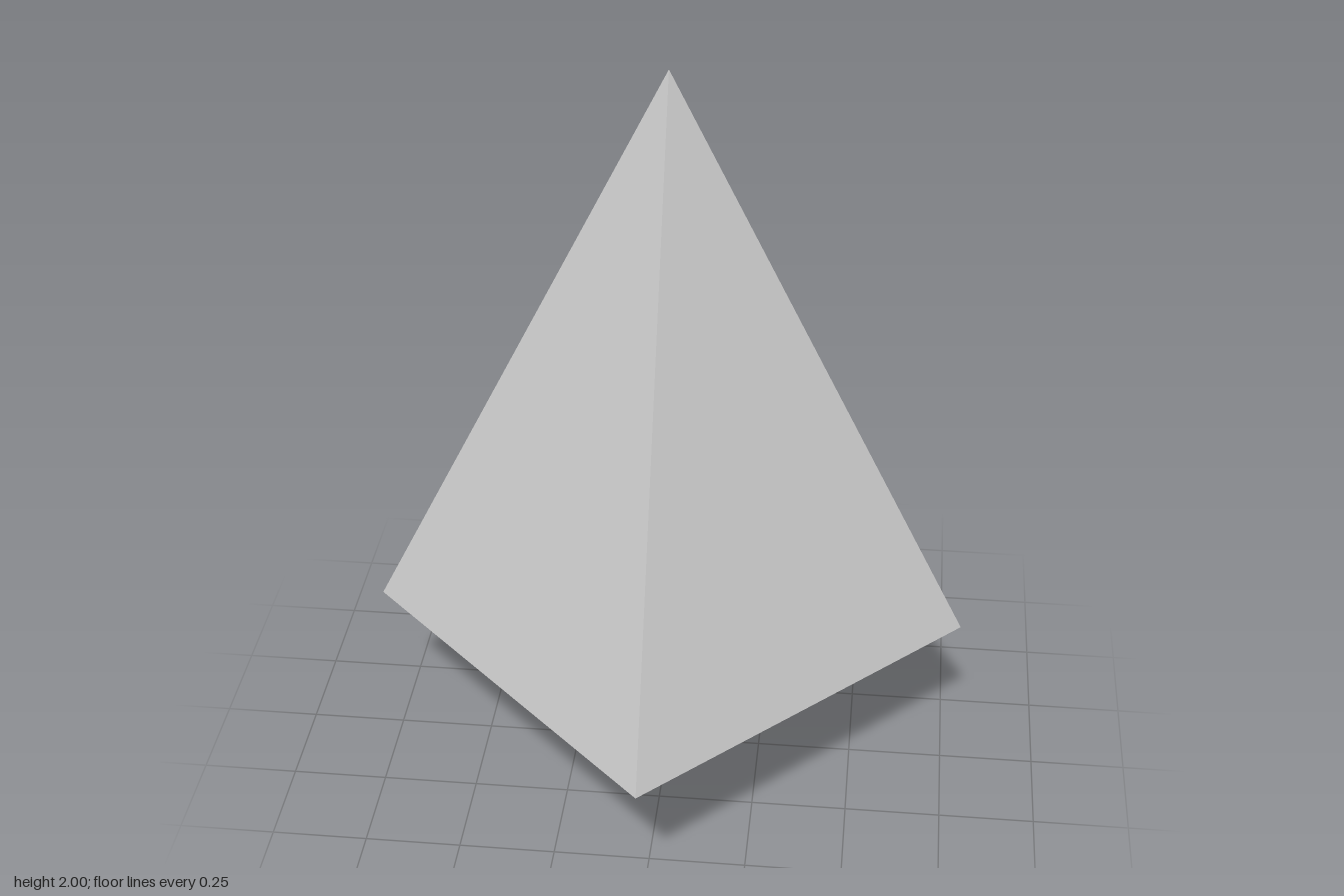
import * as THREE from 'three';

const material = new THREE.MeshStandardMaterial({ color: 0xcccccc, flatShading: true });

// Four-sided solid standing on height y, with its corners on the axes
function fourSided(name, topRadius, bottomRadius, y, height) {
  const geometry = new THREE.CylinderGeometry(topRadius, bottomRadius, height, 4);
  geometry.translate(0, y + height / 2, 0);
  const mesh = new THREE.Mesh(geometry, material);
  mesh.name = name;
  return mesh;
}

export function createModel() {
  const tree = new THREE.Group();
  tree.name = 'tree';

  // Pyramid crown with a closed base
  const foliage = fourSided('foliage', 0, 0.78, 0.44, 1.56);

  // Square trunk, slightly twisted and off centre
  const trunk = fourSided('trunk', 0.1585, 0.1585, 0, 0.44);
  trunk.rotation.y = 0.11;
  trunk.position.set(0.0025, 0, -0.0175);

  tree.add(foliage, trunk);
  return tree;
}
